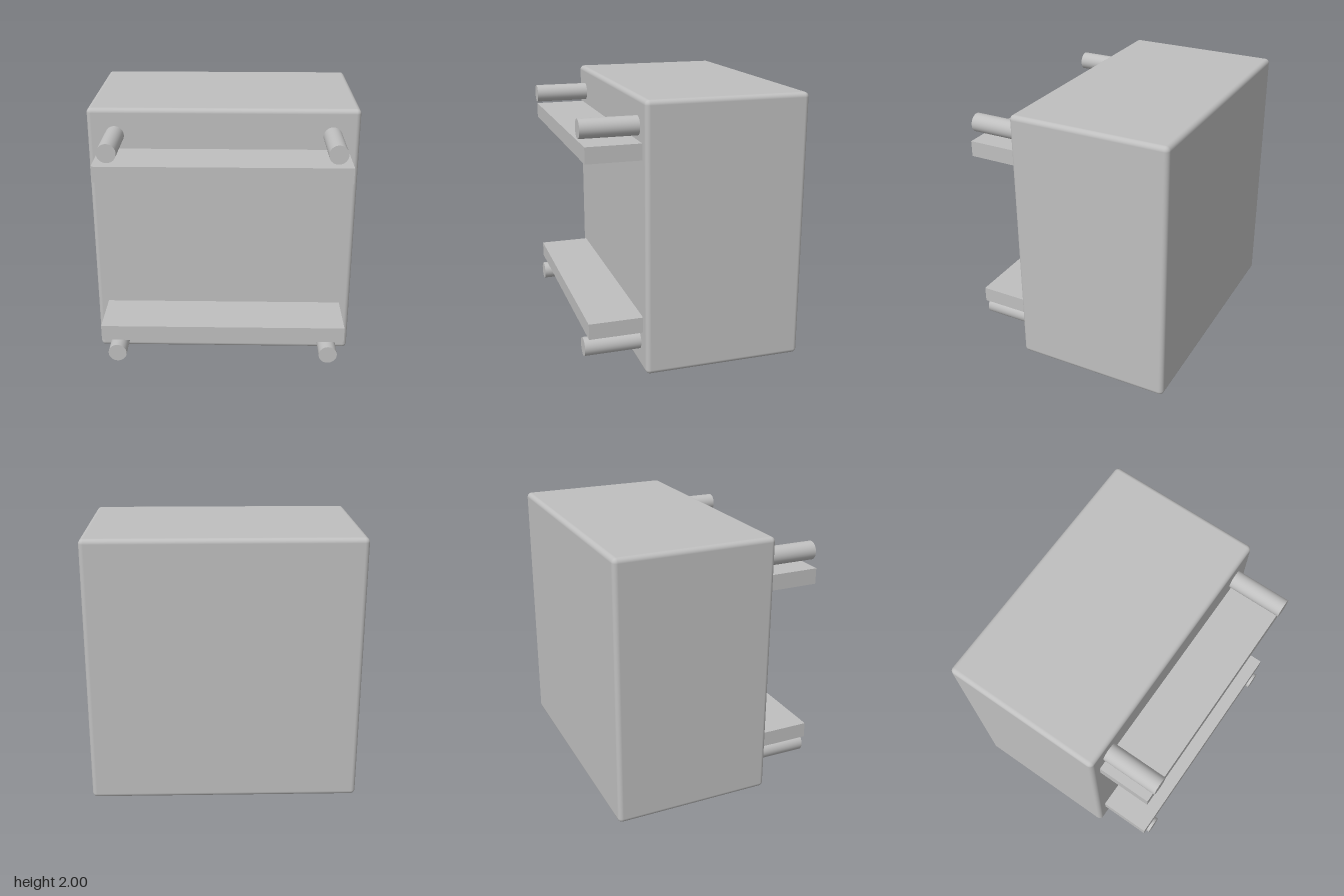
import * as THREE from 'three';
import { RoundedBoxGeometry } from 'three/addons/geometries/RoundedBoxGeometry.js';

export function createModel() {
  const model = new THREE.Group();
  const grey = new THREE.MeshStandardMaterial({ color: 0xbfbfbf });
  grey.name = 'grey';

  const add = (name, geometry, x, y, z) => {
    const mesh = new THREE.Mesh(geometry, grey);
    mesh.name = name;
    mesh.position.set(x, y, z);
    model.add(mesh);
    return mesh;
  };

  // Main block with softly rounded edges
  const frontZ = 0.39;
  add('body', new RoundedBoxGeometry(2, 2, 1.2, 4, 0.035), 0, 1, frontZ - 0.6);

  // Two shelves and four rods on the front, mirrored about mid height
  const shelf = new THREE.BoxGeometry(1.834, 0.118, 0.42);
  const rod = new THREE.CylinderGeometry(0.069, 0.069, 0.44, 32);
  rod.rotateX(Math.PI / 2);
  for (const [level, side] of [['upper', 1], ['lower', -1]]) {
    add(level + 'Shelf', shelf, 0, 1 + side * 0.638, 0.79 - 0.21);
    for (const [hand, sx] of [['Left', 1], ['Right', -1]]) {
      add(level + hand + 'Rod', rod, sx * 0.8, 1 + side * 0.8, 0.81 - 0.22);
    }
  }
  return model;
}
